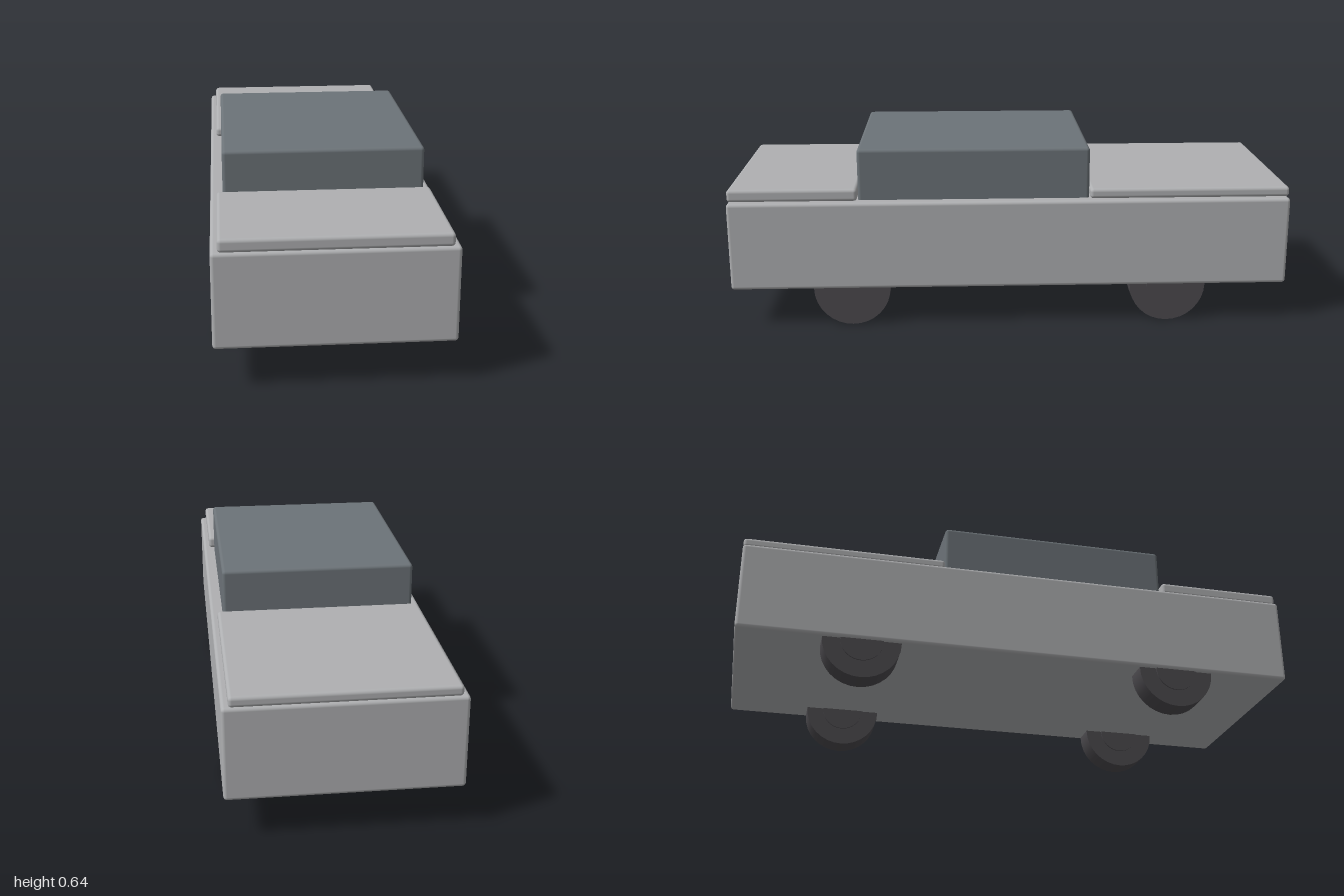
import * as THREE from 'three';
import { RoundedBoxGeometry } from 'three/addons/geometries/RoundedBoxGeometry.js';

export function createModel() {
  const car = new THREE.Group();
  car.name = 'car';

  const paint = new THREE.MeshStandardMaterial({ name: 'silver paint', color: 0xafb0b2 });
  const glass = new THREE.MeshStandardMaterial({ name: 'slate cabin', color: 0x6c7378 });
  const rubber = new THREE.MeshStandardMaterial({ name: 'dark rubber', color: 0x4c4a4e });

  // Softly rounded box given by half width, y range and z range
  function slab(name, halfWidth, y0, y1, z0, z1, material) {
    const geometry = new RoundedBoxGeometry(2 * halfWidth, y1 - y0, z1 - z0, 3, 0.012);
    const mesh = new THREE.Mesh(geometry, material);
    mesh.name = name;
    mesh.position.set(0, (y0 + y1) / 2, (z0 + z1) / 2);
    car.add(mesh);
  }

  slab('body', 0.385, 0.14, 0.458, -1, 1, paint);
  slab('hood', 0.363, 0.459, 0.503, 0.543, 1, paint);
  slab('trunkLid', 0.363, 0.459, 0.495, -1, -0.285, paint);
  slab('cabin', 0.342, 0.445, 0.641, -0.283, 0.541, glass);

  // Wheels: tyre with a slightly wider hub through it
  const tyreGeometry = new THREE.CylinderGeometry(0.137, 0.137, 0.087, 32).rotateZ(Math.PI / 2);
  const hubGeometry = new THREE.CylinderGeometry(0.075, 0.075, 0.097, 32).rotateZ(Math.PI / 2);
  for (const [end, z] of [['front', 0.57], ['rear', -0.57]]) {
    for (const [side, x] of [['Left', 0.3285], ['Right', -0.3285]]) {
      const wheel = new THREE.Group();
      wheel.name = `${end}${side}Wheel`;
      const tyre = new THREE.Mesh(tyreGeometry, rubber);
      tyre.name = 'tyre';
      const hub = new THREE.Mesh(hubGeometry, rubber);
      hub.name = 'hub';
      wheel.add(tyre, hub);
      wheel.position.set(x, 0.137, z);
      car.add(wheel);
    }
  }
  return car;
}
